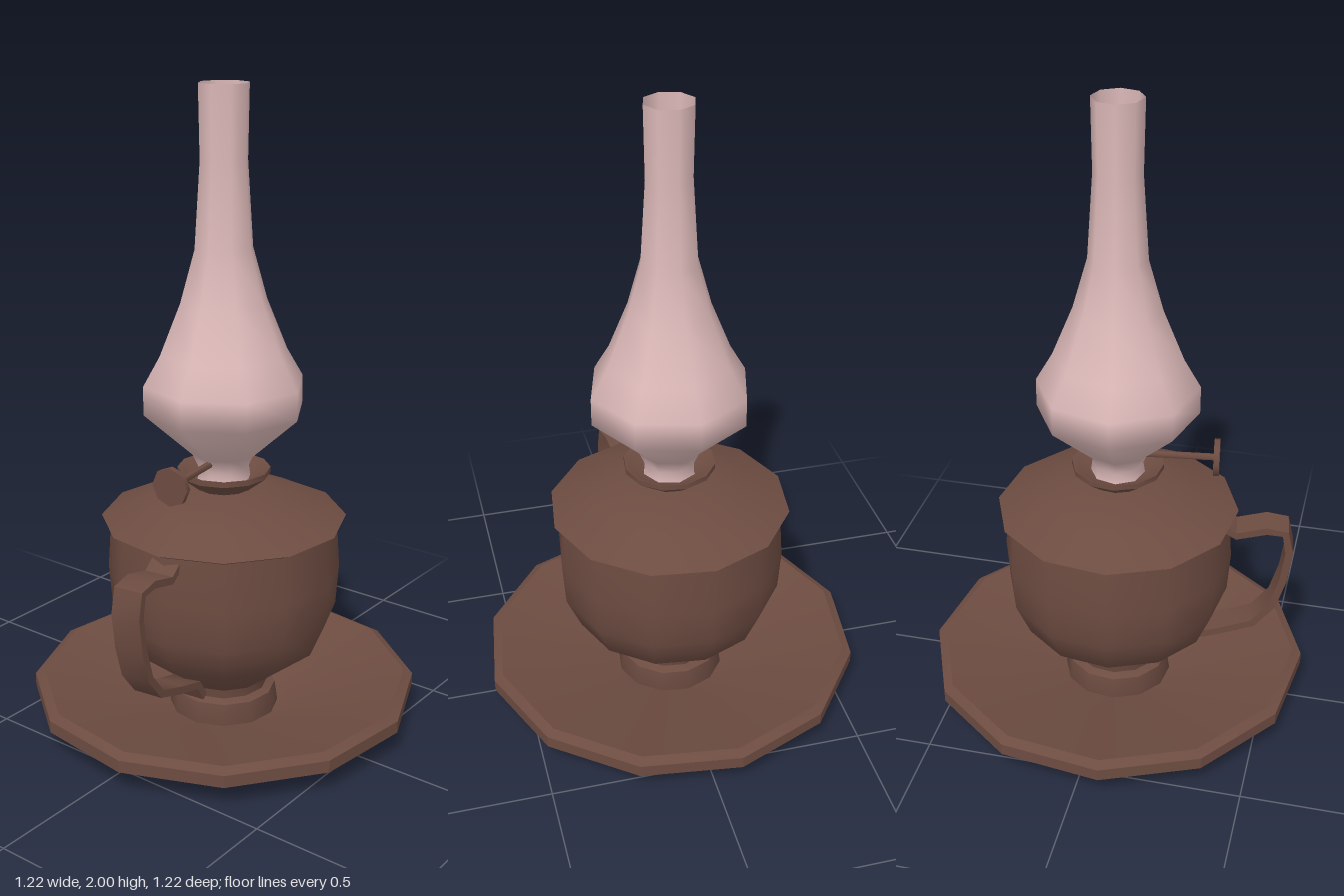
import * as THREE from 'three';
import { toCreasedNormals } from 'three/addons/utils/BufferGeometryUtils.js';

const brown = new THREE.MeshStandardMaterial({ color: 0x6d4c41, side: THREE.DoubleSide });
const pink = new THREE.MeshStandardMaterial({ color: 0xdcb8b8, side: THREE.DoubleSide });

const points = (list) => list.map(([x, y]) => new THREE.Vector2(x, y));

function addMesh(parent, name, geometry, material) {
  const mesh = new THREE.Mesh(geometry, material);
  mesh.name = name;
  parent.add(mesh);
  return mesh;
}

// Turned part: profile of [radius, height] pairs, listed from bottom to top
function turned(parent, name, profile, sides, material, crease = 0.7) {
  const lathe = new THREE.LatheGeometry(points(profile), sides);
  return addMesh(parent, name, crease ? toCreasedNormals(lathe, crease) : lathe, material);
}

// Flat strap of even thickness that follows a path in the xy plane
function strap(path, thickness, width) {
  const pts = points(path);
  const side = (sign) => pts.map((p, i) => {
    const a = pts[Math.max(i - 1, 0)];
    const b = pts[Math.min(i + 1, pts.length - 1)];
    const t = b.clone().sub(a).normalize();
    return new THREE.Vector2(p.x - t.y * sign * thickness / 2, p.y + t.x * sign * thickness / 2);
  });
  const shape = new THREE.Shape([...side(1), ...side(-1).reverse()]);
  const geometry = new THREE.ExtrudeGeometry(shape, { depth: width, bevelEnabled: false });
  geometry.translate(0, 0, -width / 2);
  return toCreasedNormals(geometry, 0.7);
}

export function createModel() {
  const model = new THREE.Group();
  model.name = 'oilLamp';
  const lamp = new THREE.Group();
  lamp.name = 'lamp';
  lamp.rotation.y = 0.13;
  model.add(lamp);

  // Shallow saucer with an open centre
  turned(lamp, 'saucer', [
    [0.17, 0], [0.614, 0.076], [0.614, 0.115], [0.585, 0.13], [0.17, 0.02],
  ], 12, brown, 0.5);

  // Hollow foot ring and rounded bowl
  turned(lamp, 'foot', [
    [0.17, 0], [0.175, 0.02], [0.165, 0.09], [0.14, 0.1], [0.145, 0.13],
  ], 12, brown);
  turned(lamp, 'bowl', [
    [0.145, 0.13], [0.31, 0.26], [0.357, 0.37], [0.366, 0.5], [0.355, 0.66],
  ], 12, brown);

  // Overhanging lid
  turned(lamp, 'lid', [
    [0.35, 0.655], [0.384, 0.672], [0.25, 0.733], [0.14, 0.768], [0.08, 0.77],
  ], 12, brown);

  // Flared dish that holds the chimney
  turned(lamp, 'burnerDish', [
    [0.085, 0.768], [0.145, 0.815], [0.145, 0.832], [0.13, 0.828], [0.075, 0.79], [0, 0.79],
  ], 12, brown);

  // Glass chimney, open at the top and closed at the base
  turned(lamp, 'chimney', [
    [0.085, 0.8], [0.08, 0.835], [0.1, 0.88], [0.252, 1.02], [0.252, 1.11], [0.2, 1.2],
    [0.135, 1.36], [0.09, 1.52], [0.073, 1.78], [0.077, 2],
  ], 8, pink, 0);
  const base = addMesh(lamp, 'chimneyBase', new THREE.CircleGeometry(0.085, 8), pink);
  base.rotation.x = -Math.PI / 2;
  base.position.y = 0.802;

  // Wick spindle and its round knob
  const spindle = addMesh(lamp, 'wickSpindle',
    toCreasedNormals(new THREE.CylinderGeometry(0.011, 0.011, 0.245, 8), 0.9), brown);
  spindle.rotation.z = Math.PI / 2;
  spindle.position.set(-0.183, 0.866, 0);
  const knob = addMesh(lamp, 'wickKnob',
    toCreasedNormals(new THREE.CylinderGeometry(0.06, 0.06, 0.018, 8), 0.9), brown);
  knob.rotation.z = Math.PI / 2;
  knob.position.set(-0.308, 0.866, 0);

  // Strap handle from the shoulder down to the foot
  addMesh(lamp, 'handle', strap([
    [-0.335, 0.635], [-0.38, 0.605], [-0.475, 0.63], [-0.535, 0.622], [-0.55, 0.55],
    [-0.535, 0.44], [-0.505, 0.34], [-0.445, 0.265], [-0.335, 0.225], [-0.235, 0.195], [-0.2, 0.14],
  ], 0.024, 0.095), brown);

  return model;
}
